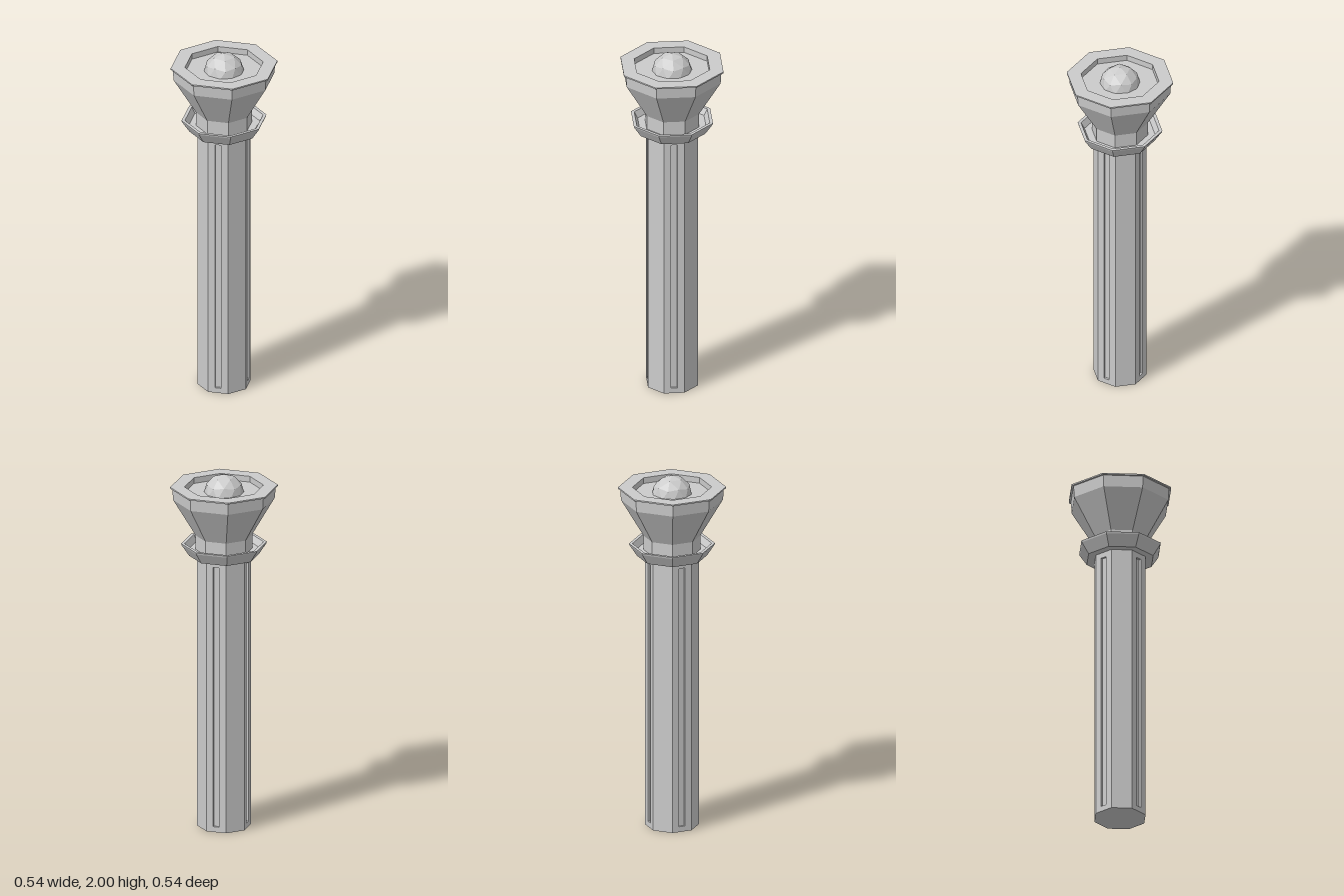
import * as THREE from 'three';

const STEP = Math.PI / 4;
const CORNER = 1 / Math.cos(Math.PI / 8); // flat-to-corner ratio of an octagon

const material = new THREE.MeshStandardMaterial({ color: 0xcccccc, flatShading: true });

function addMesh(group, name, geometry, y = 0) {
  const mesh = new THREE.Mesh(geometry, material);
  mesh.name = name;
  mesh.position.y = y;
  group.add(mesh);
  return mesh;
}

// Eight-sided turned part; each profile point is [distance to flat, height]
function octagonal(profile) {
  const points = profile.map(([r, y]) => new THREE.Vector2(r * CORNER, y));
  return new THREE.LatheGeometry(points, 8, Math.PI / 8);
}

// Octagon outline with a narrow slot in each of the four main faces
function slottedOctagon(flat, slotHalf, depth) {
  const half = flat * Math.tan(Math.PI / 8);
  const side = [
    [flat, -half], [flat, -slotHalf], [flat - depth, -slotHalf],
    [flat - depth, slotHalf], [flat, slotHalf], [flat, half],
  ];
  const points = [];
  for (let i = 0; i < 4; i++) {
    for (const [x, y] of side) {
      points.push(new THREE.Vector2(x, y).rotateAround(new THREE.Vector2(), i * 2 * STEP));
    }
  }
  return new THREE.Shape(points);
}

export function createModel() {
  const group = new THREE.Group();
  group.name = 'tower';

  // Shaft: solid foot and head with a slotted length between them
  const foot = 0.03, head = 1.51, flat = 0.135;
  addMesh(group, 'shaftFoot', octagonal([[0, 0], [flat, 0], [flat, foot], [0, foot]]));
  const shaft = new THREE.ExtrudeGeometry(slottedOctagon(flat, 0.017, 0.012), {
    depth: head - foot, bevelEnabled: false,
  });
  shaft.rotateX(-Math.PI / 2);
  addMesh(group, 'shaft', shaft, foot);
  addMesh(group, 'shaftHead', octagonal([[0, head], [flat, head], [flat, 1.56], [0, 1.56]]));

  // Flared collar, hollow on top like a walkway with a parapet
  addMesh(group, 'collar', octagonal([
    [0.12, 1.54], [0.175, 1.54], [0.212, 1.6], [0.215, 1.61],
    [0.198, 1.61], [0.18, 1.575], [0.12, 1.575],
  ]));

  // Neck and flared cabin
  addMesh(group, 'cabin', octagonal([
    [0.142, 1.56], [0.142, 1.655], [0.255, 1.86], [0.259, 1.925],
  ]));

  // Roof plate with an overhanging rim and a sunken middle
  addMesh(group, 'roof', octagonal([
    [0.25, 1.925], [0.27, 1.925], [0.27, 1.933], [0.198, 1.933], [0.198, 1.9], [0, 1.9],
  ]));

  // Faceted dome, one vertex pointing straight up
  const dome = new THREE.IcosahedronGeometry(0.111, 1);
  dome.rotateX(-Math.atan((1 + Math.sqrt(5)) / 2));
  dome.rotateY(Math.PI / 2);
  addMesh(group, 'dome', dome, 1.889);

  return group;
}
